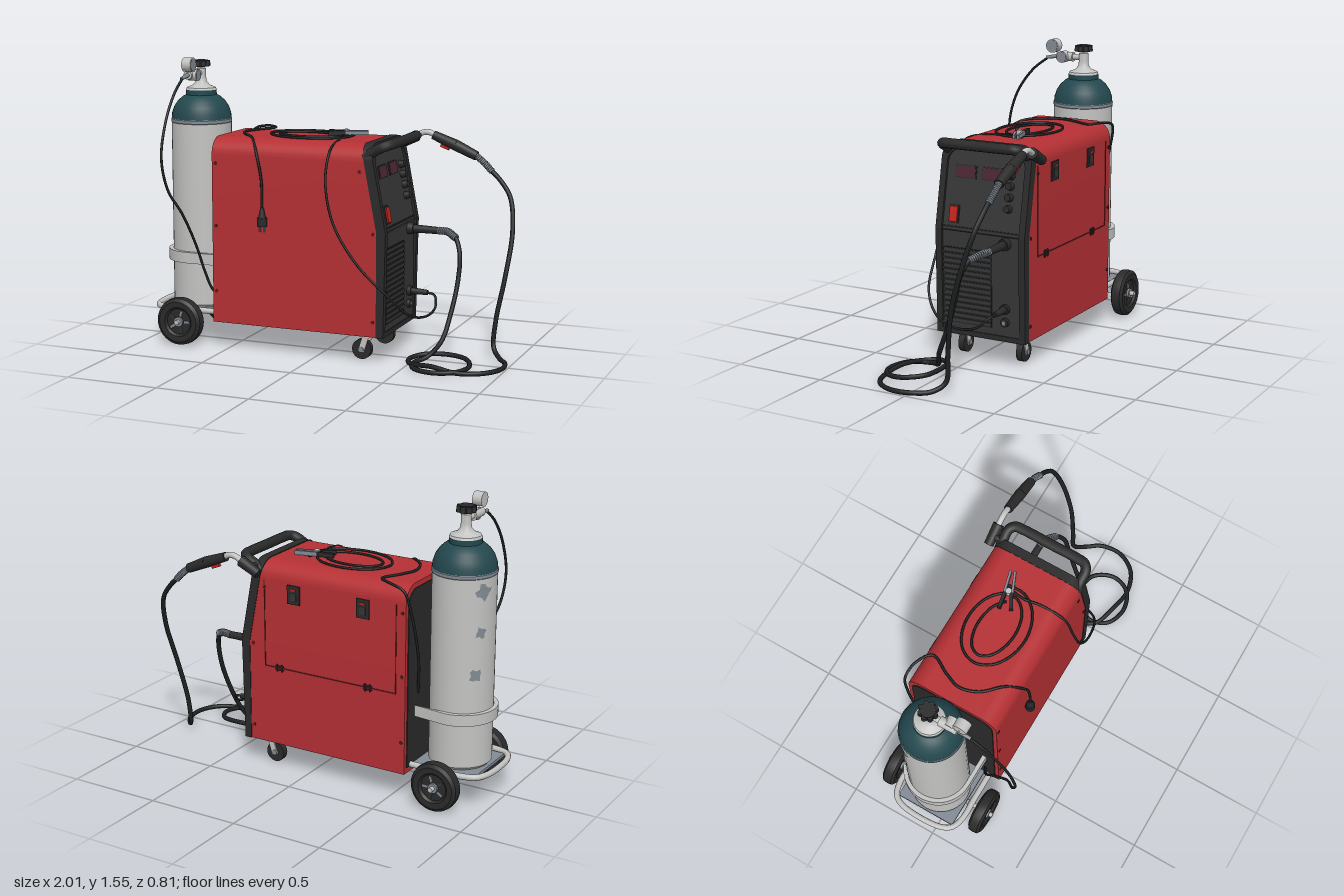
import * as THREE from 'three';
import { toCreasedNormals } from 'three/addons/utils/BufferGeometryUtils.js';

const V = (a) => new THREE.Vector3(...a);
const mat = (name, color, side = THREE.FrontSide) => {
  const m = new THREE.MeshStandardMaterial({ color, side });
  m.name = name;
  return m;
};
const CZ = -0.072; // centre line of cabinet and tank
const faceX = (y) => 0.345 - Math.max(0, y - 0.69) * 0.193;

export function createModel() {
  const root = new THREE.Group();
  root.name = 'weldingCart';
  const red = mat('cabinetRed', 0xb53034), black = mat('blackPlastic', 0x2a2a2b), charcoal = mat('panelCharcoal', 0x363637),
    cable = mat('cableBlack', 0x1e2021), teal = mat('tankTeal', 0x23484e), pale = mat('paleGrey', 0xc3c4c2),
    steel = mat('blueGreySteel', 0x828b94, THREE.DoubleSide), maroon = mat('displayMaroon', 0x4d2633),
    bright = mat('switchRed', 0xc4241e), darkRed = mat('seamRed', 0x5e1a1c);

  const add = (name, geo, m, pos = [0, 0, 0], parent = root) => {
    const mesh = new THREE.Mesh(geo, m);
    mesh.name = name;
    mesh.position.set(...pos);
    parent.add(mesh);
    return mesh;
  };
  const group = (name, pos) => {
    const g = new THREE.Group();
    g.name = name;
    g.position.set(...pos);
    root.add(g);
    return g;
  };
  const box = (name, size, pos, m, parent) => add(name, new THREE.BoxGeometry(...size), m, pos, parent);
  // Cylinder from a to b
  const rod = (name, a, b, ra, rb, m, parent, sides = 20) => {
    const d = V(b).sub(V(a));
    const mesh = add(name, new THREE.CylinderGeometry(rb, ra, d.length(), sides), m, V(a).addScaledVector(d, 0.5).toArray(), parent);
    mesh.quaternion.setFromUnitVectors(V([0, 1, 0]), d.normalize());
    return mesh;
  };
  const curveOf = (pts) => new THREE.CatmullRomCurve3(pts.map(V));
  const tube = (name, pts, r, m, seg = pts.length * 9) => add(name, new THREE.TubeGeometry(curveOf(pts), seg, r, 10), m);
  const spring = (name, pts, n, r) => {
    const c = curveOf(pts), g = group(name, [0, 0, 0]);
    for (let i = 0; i < n; i++) {
      const ring = add('springCoil', new THREE.TorusGeometry(r, 0.005, 6, 14), steel, c.getPointAt(i / (n - 1)).toArray(), g);
      ring.quaternion.setFromUnitVectors(V([0, 0, 1]), c.getTangentAt(i / (n - 1)));
    }
  };

  // Outline across the cabinet; r rounds the top corners
  const outline = (P, h, y0, y1, r) => {
    const s = new P();
    s.moveTo(-h, y0);
    s.lineTo(h, y0);
    s.lineTo(h, y1 - r);
    if (r) s.absarc(h - r, y1 - r, r, 0, Math.PI / 2, false);
    s.lineTo(-h + r, y1);
    if (r) s.absarc(-h + r, y1 - r, r, Math.PI / 2, Math.PI, false);
    s.closePath();
    return s;
  };
  // Extrude an outline along x between two limits that depend on height
  const slab = (name, shape, back, front, m) => {
    const g = new THREE.ExtrudeGeometry(shape, { depth: 1, bevelEnabled: false, curveSegments: 10 });
    g.rotateY(Math.PI / 2);
    const p = g.attributes.position;
    for (let i = 0; i < p.count; i++) p.setX(i, p.getX(i) < 0.5 ? back(p.getY(i)) : front(p.getY(i)));
    g.clearGroups();
    return add(name, toCreasedNormals(g, 0.6), m, [0, 0, CZ]);
  };
  const rear = () => -0.585;
  slab('cabinetLower', outline(THREE.Shape, 0.257, 0.14, 0.69, 0), rear, faceX, red);
  slab('cabinetUpper', outline(THREE.Shape, 0.257, 0.69, 1.137, 0.09), rear, faceX, red);
  slab('rearPanel', outline(THREE.Shape, 0.235, 0.17, 1.11, 0.08), () => -0.59, rear, black);

  // Front bezel with recessed panels
  const bezelX = (y) => faceX(y) + 0.05, panelX = (y) => faceX(y) + 0.036;
  const upperBezel = new THREE.Shape();
  upperBezel.moveTo(-0.26, 0.69);
  upperBezel.lineTo(-0.225, 0.69);
  upperBezel.lineTo(-0.225, 1.03);
  upperBezel.absarc(-0.155, 1.03, 0.07, Math.PI, Math.PI / 2, true);
  upperBezel.absarc(0.155, 1.03, 0.07, Math.PI / 2, 0, true);
  upperBezel.lineTo(0.225, 0.69);
  upperBezel.lineTo(0.26, 0.69);
  upperBezel.absarc(0.17, 1.052, 0.09, 0, Math.PI / 2, false);
  upperBezel.absarc(-0.17, 1.052, 0.09, Math.PI / 2, Math.PI, false);
  upperBezel.closePath();
  slab('bezelUpper', upperBezel, faceX, bezelX, black);
  const lowerBezel = outline(THREE.Shape, 0.26, 0.138, 0.69, 0);
  lowerBezel.holes.push(outline(THREE.Path, 0.225, 0.165, 0.689, 0));
  slab('bezelLower', lowerBezel, faceX, (y) => 0.384 + (y - 0.14) * 0.02, black);
  slab('panelUpper', outline(THREE.Shape, 0.23, 0.69, 1.105, 0.07), faceX, panelX, charcoal);
  slab('panelLower', outline(THREE.Shape, 0.23, 0.15, 0.69, 0), faceX, () => 0.379, charcoal);
  box('panelSeam', [0.012, 0.008, 0.46], [0.377, 0.705, CZ], black);

  // Carry handle
  const handleHalf = [[0.27, 1.07, 0.23], [0.32, 1.105, 0.23], [0.37, 1.13, 0.228], [0.396, 1.14, 0.205], [0.402, 1.141, 0.16]];
  const mirrored = handleHalf.map(([x, y, z]) => [x, y, -z]).reverse();
  tube('carryHandle', [...handleHalf, [0.402, 1.141, 0], ...mirrored].map(([x, y, z]) => [x, y, z + CZ]), 0.027, black, 80);

  // Controls on the sloped panel
  const ctl = group('controls', [0.381, 0.69, 0]);
  ctl.rotation.z = Math.atan(0.193);
  for (const z of [0.043, -0.11]) {
    box('displayFrame', [0.008, 0.068, 0.122], [0, 0.303, z], black, ctl);
    box('display', [0.009, 0.056, 0.11], [0.002, 0.303, z], maroon, ctl);
  }
  for (const y of [0.99, 0.938, 0.882, 0.825]) rod('knob', [0, (y - 0.69) * 1.018, -0.22], [0.03, (y - 0.69) * 1.018, -0.22], 0.021, 0.018, black, ctl);
  box('switchFrame', [0.008, 0.095, 0.058], [0.002, 0.082, 0.091], black, ctl);
  box('powerSwitch', [0.02, 0.08, 0.046], [0.004, 0.082, 0.091], bright, ctl);

  // Vent slats
  box('ventRecess', [0.004, 0.4, 0.28], [0.38, 0.4, 0.005], cable);
  for (let i = 0; i < 14; i++) box('ventSlat', [0.01, 0.017, 0.28], [0.382, 0.215 + i * 0.0285, 0.005], charcoal);

  // Sockets and plugs
  const zc = -0.215;
  rod('torchSocket', [0.37, 0.65, zc], [0.41, 0.65, zc], 0.034, 0.03, black);
  rod('torchPlug', [0.41, 0.65, zc], [0.55, 0.648, zc], 0.022, 0.019, black);
  rod('clampSocket', [0.37, 0.31, zc], [0.4, 0.31, zc], 0.026, 0.026, black);
  rod('clampPlug', [0.4, 0.31, zc], [0.49, 0.308, zc], 0.018, 0.014, black);
  rod('spareSocket', [0.37, 0.24, zc], [0.395, 0.24, zc], 0.024, 0.022, black);
  rod('sparePin', [0.38, 0.24, zc], [0.4, 0.24, zc], 0.01, 0.01, steel);

  // Torch: nozzle, neck, grip and hose
  const zt = -0.36;
  rod('torchNozzle', [0.265, 1.075, zt], [0.37, 1.128, zt], 0.026, 0.03, black);
  rod('nozzleClip', [0.31, 1.1, zt], [0.31, 1.1, -0.29], 0.02, 0.02, black);
  tube('torchNeck', [[0.36, 1.123, zt], [0.41, 1.148, zt], [0.445, 1.148, zt], [0.49, 1.125, zt]], 0.016, pale);
  rod('torchGripFront', [0.465, 1.136, zt], [0.59, 1.087, zt], 0.024, 0.03, black);
  rod('torchGripRear', [0.59, 1.087, zt], [0.705, 1.035, zt], 0.03, 0.025, black);
  box('torchTrigger', [0.05, 0.022, 0.018], [0.53, 1.078, zt], bright).rotation.z = -0.38;
  spring('torchSpring', [[0.705, 1.035, zt], [0.75, 1.0, -0.359], [0.79, 0.962, -0.354]], 12, 0.014);
  spring('plugSpring', [[0.55, 0.648, zc], [0.6, 0.648, -0.205], [0.655, 0.625, -0.17]], 12, 0.016);
  tube('torchHose', [
    [0.55, 0.648, zc], [0.6, 0.648, -0.205], [0.655, 0.625, -0.17], [0.69, 0.55, -0.135], [0.693, 0.42, -0.105],
    [0.675, 0.25, -0.045], [0.645, 0.11, 0.02], [0.585, 0.035, 0.06], [0.535, 0.015, 0.13], [0.57, 0.014, 0.235],
    [0.69, 0.014, 0.277], [0.8, 0.018, 0.23], [0.833, 0.025, 0.13], [0.775, 0.035, 0.025], [0.665, 0.04, 0],
    [0.55, 0.035, 0.03], [0.5, 0.025, 0.1], [0.53, 0.02, 0.175], [0.66, 0.03, 0.222], [0.8, 0.014, 0.24],
    [0.92, 0.014, 0.195], [0.985, 0.014, 0.09], [0.975, 0.014, -0.03], [0.92, 0.018, -0.11], [0.875, 0.06, -0.16],
    [0.88, 0.2, -0.175], [0.915, 0.43, -0.215], [0.93, 0.66, -0.285], [0.9, 0.83, -0.335], [0.84, 0.915, -0.35],
    [0.79, 0.962, -0.354], [0.705, 1.035, zt]], 0.0125, cable, 280);

  // Work clamp and its cable coiled on the lid
  const yl = 1.145, coil = [];
  for (let i = 0; i <= 22; i++) {
    const a = 0.35 + (i / 22) * Math.PI * 4, k = i / 22;
    coil.push([-0.135 + Math.cos(a) * (0.15 + k * 0.09), yl, -0.09 - Math.sin(a) * (0.07 + k * 0.12)]);
  }
  tube('clampCable', [
    [0.01, 1.155, -0.1], ...coil, [0.07, yl, -0.04], [0.085, 1.14, 0.06], [0.09, 1.1, 0.19], [0.09, 0.95, 0.25], [0.14, 0.74, 0.27],
    [0.27, 0.53, 0.26], [0.43, 0.36, 0.21], [0.5, 0.26, 0.12], [0.545, 0.225, -0.03], [0.555, 0.25, -0.15],
    [0.53, 0.3, -0.205], [0.48, 0.308, zc]], 0.0065, cable, 320);
  const clamp = group('workClamp', [0.06, 1.158, -0.12]);
  clamp.rotation.y = 0.33;
  for (const s of [-1, 1]) {
    const grip = box('clampGrip', [0.09, 0.024, 0.018], [-0.05, 0, s * 0.024], black, clamp);
    const jaw = box('clampJaw', [0.12, 0.022, 0.013], [0.055, 0, s * 0.016], steel, clamp);
    grip.rotation.y = s * 0.16;
    jaw.rotation.y = s * 0.08;
  }
  rod('clampPivot', [0, -0.014, 0], [0, 0.018, 0], 0.016, 0.016, pale, clamp);

  // Mains cord and plug
  tube('mainsCord', [
    [-0.59, 0.55, -0.2], [-0.615, 0.75, -0.25], [-0.61, 1.0, -0.32], [-0.58, 1.12, -0.345], [-0.5, 1.145, -0.335], [-0.42, 1.145, -0.28],
    [-0.47, yl, -0.17], [-0.5, yl, -0.08], [-0.47, yl, 0.02], [-0.38, 1.135, 0.115], [-0.32, 1.06, 0.195],
    [-0.29, 0.93, 0.205], [-0.285, 0.77, 0.208]], 0.007, cable, 130);
  rod('mainsPlugNeck', [-0.285, 0.785, 0.208], [-0.285, 0.73, 0.208], 0.009, 0.02, black);
  rod('mainsPlug', [-0.285, 0.73, 0.208], [-0.285, 0.685, 0.208], 0.026, 0.026, black);
  for (const s of [-1, 1]) rod('plugPin', [-0.285 + s * 0.012, 0.69, 0.208], [-0.285 + s * 0.012, 0.655, 0.208], 0.004, 0.004, steel);

  // Screws, and the access door on the far side
  for (const [x, y] of [[-0.565, 1.0], [0.25, 1.0], [-0.565, 0.665], [0.325, 0.68], [-0.565, 0.31], [0.325, 0.22]])
    for (const s of [-1, 1]) rod('screw', [x, y, CZ + s * 0.25], [x, y, CZ + s * 0.261], 0.009, 0.009, darkRed, root, 10);
  const zd = CZ - 0.258;
  box('doorHingeSeam', [0.78, 0.006, 0.004], [-0.14, 0.57, zd], darkRed);
  for (const x of [-0.53, 0.25]) box('doorSideSeam', [0.005, 0.47, 0.004], [x, 0.805, zd], darkRed);
  for (const x of [0.07, -0.34]) {
    box('latchPlate', [0.075, 0.1, 0.012], [x, 0.985, zd], black);
    box('latchTab', [0.035, 0.04, 0.016], [x, 0.975, zd], charcoal);
    box('latchButton', [0.03, 0.01, 0.018], [x, 1.012, zd], bright);
  }
  for (const x of [0.16, -0.37]) for (const s of [-1, 1]) {
    box('hingeLeaf', [0.05, 0.006, 0.01], [x, 0.57 + s * 0.01, zd], black);
    box('hingeKnuckle', [0.006, 0.04, 0.012], [x + s * 0.014, 0.57, zd], black);
  }

  // Gas tank
  const tx = -0.77;
  const lathe = (name, pts, m) => add(name, toCreasedNormals(new THREE.LatheGeometry(pts.map((p) => new THREE.Vector2(...p)), 40), 0.6), m, [tx, 0, CZ]);
  lathe('tankBody', [[0, 0.18], [0.15, 0.18], [0.163, 0.195], [0.163, 1.19]], pale);
  lathe('tankBand', [[0.163, 1.185], [0.1655, 1.188], [0.1655, 1.204], [0.163, 1.207]], steel);
  lathe('tankShoulder', [[0.163, 1.2], [0.16, 1.235], [0.148, 1.27], [0.128, 1.3], [0.1, 1.325], [0.083, 1.333], [0.083, 1.36], [0, 1.36]], teal);
  lathe('tankValve', [[0.083, 1.36], [0.078, 1.372], [0.045, 1.385], [0.03, 1.405], [0.026, 1.43], [0.026, 1.475], [0.012, 1.48], [0.012, 1.5], [0, 1.5]], pale);
  for (let i = 0; i < 8; i++) {
    const a = (i * Math.PI) / 4;
    rod('valveKnobLobe', [tx + Math.cos(a) * 0.038, 1.487, CZ + Math.sin(a) * 0.038], [tx + Math.cos(a) * 0.038, 1.517, CZ + Math.sin(a) * 0.038], 0.015, 0.013, black, root, 10);
  }
  rod('valveKnob', [tx, 1.485, CZ], [tx, 1.52, CZ], 0.042, 0.038, black);
  // Worn paint patches wrapped on the tank
  [[1.12, 0.5, 0.05], [0.91, 0.55, 0.035], [0.69, 0.7, 0.04]].forEach(([y, a0, r], k) => {
    const g = new THREE.CircleGeometry(r, 11), p = g.attributes.position;
    for (let i = 0; i < p.count; i++) {
      const w = i ? 0.8 + 0.25 * Math.sin(i * 2.3 + k) : 1, a = Math.PI + a0 + (p.getX(i) * w) / 0.166;
      p.setXYZ(i, Math.cos(a) * 0.1665, p.getY(i) * w, Math.sin(a) * 0.1665);
    }
    g.computeVertexNormals();
    add('wornPatch', g, steel, [tx, y, CZ]);
  });

  // Regulator with two gauges and the gas hose
  rod('regulatorStem', [tx, 1.45, CZ], [tx, 1.45, 0.02], 0.016, 0.016, pale);
  rod('regulatorBody', [tx, 1.45, -0.01], [tx, 1.45, 0.09], 0.026, 0.024, pale);
  rod('gaugeStem', [tx, 1.455, 0.07], [tx, 1.5, 0.105], 0.011, 0.011, pale);
  rod('hoseFitting', [tx, 1.45, 0.08], [tx, 1.437, 0.16], 0.012, 0.009, steel);
  for (const [y, z, r] of [[1.508, 0.105, 0.038], [1.449, 0.045, 0.032]]) {
    rod('gaugeCase', [tx - 0.01, y, z], [tx + 0.042, y, z], r, r, pale, root, 28);
    rod('gaugeFace', [tx + 0.04, y, z], [tx + 0.044, y, z], r * 0.88, r * 0.88, steel, root, 28);
  }
  tube('gasHose', [
    [tx, 1.438, 0.15], [tx, 1.36, 0.25], [tx, 1.22, 0.35], [tx, 1.04, 0.4], [-0.75, 0.87, 0.37], [-0.7, 0.74, 0.31],
    [-0.675, 0.55, 0.2], [-0.65, 0.4, 0.15], [-0.62, 0.3, 0.12], [-0.58, 0.26, 0.1]], 0.007, cable);

  // Tank strap, tray and tube frame
  const strap = new THREE.Shape();
  strap.moveTo(0.185, 0.187);
  strap.absarc(0, 0, 0.187, Math.PI / 2, Math.PI * 1.5, false);
  strap.lineTo(0.185, -0.187);
  strap.lineTo(0.185, -0.164);
  strap.absarc(0, 0, 0.164, Math.PI * 1.5, Math.PI / 2, true);
  strap.lineTo(0.185, 0.164);
  const strapGeo = new THREE.ExtrudeGeometry(strap, { depth: 0.06, bevelEnabled: false, curveSegments: 28 });
  strapGeo.rotateX(-Math.PI / 2);
  add('tankStrap', toCreasedNormals(strapGeo, 0.6), pale, [tx, 0.43, CZ]);
  box('tankTray', [0.36, 0.016, 0.34], [-0.76, 0.172, CZ], steel);
  const side = [[-0.57, 0.18, 0.2], [-0.75, 0.18, 0.2], [-0.88, 0.18, 0.2], [-0.95, 0.18, 0.175], [-0.983, 0.18, 0.11]];
  tube('tubeFrame', [...side, ...side.map(([x, y, z]) => [x, y, -z]).reverse()].map(([x, y, z]) => [x, y, z + CZ]), 0.016, pale, 90);

  // Rear wheels on an axle
  rod('axle', [-0.775, 0.13, -0.405], [-0.775, 0.13, 0.255], 0.013, 0.013, pale);
  for (const s of [-1, 1]) {
    box('axleBracket', [0.05, 0.06, 0.02], [-0.775, 0.15, CZ + s * 0.19], pale);
    const w = group('rearWheel', [-0.775, 0.13, CZ + s * 0.274]);
    w.rotation.x = Math.PI / 2;
    const prof = [[0, -0.022], [0.07, -0.022], [0.08, -0.034], [0.11, -0.036], [0.127, -0.024], [0.13, 0], [0.127, 0.024], [0.11, 0.036], [0.08, 0.034], [0.07, 0.022], [0, 0.022]];
    add('tyre', toCreasedNormals(new THREE.LatheGeometry(prof.map((p) => new THREE.Vector2(...p)), 36), 0.6), black, [0, 0, 0], w);
    rod('hub', [0, -0.034, 0], [0, 0.034, 0], 0.026, 0.026, steel, w);
    for (let i = 0; i < 5; i++) {
      const a = i * Math.PI * 0.4;
      box('spoke', [0.03, 0.05, 0.012], [Math.cos(a) * 0.046, 0, Math.sin(a) * 0.046], i % 2 ? charcoal : steel, w).rotation.y = -a;
    }
  }

  // Swivel casters
  for (const z of [0.1, -0.245]) {
    box('casterPlate', [0.09, 0.01, 0.08], [0.265, 0.136, z], pale);
    rod('casterSwivel', [0.265, 0.105, z], [0.265, 0.135, z], 0.026, 0.03, pale);
    for (const s of [-1, 1]) box('casterFork', [0.034, 0.085, 0.006], [0.252, 0.083, z + s * 0.023], pale).rotation.z = -0.3;
    rod('casterWheel', [0.24, 0.053, z - 0.017], [0.24, 0.053, z + 0.017], 0.053, 0.053, black, root, 28);
    rod('casterHub', [0.24, 0.053, z - 0.03], [0.24, 0.053, z + 0.03], 0.015, 0.015, steel);
  }
  return root;
}
